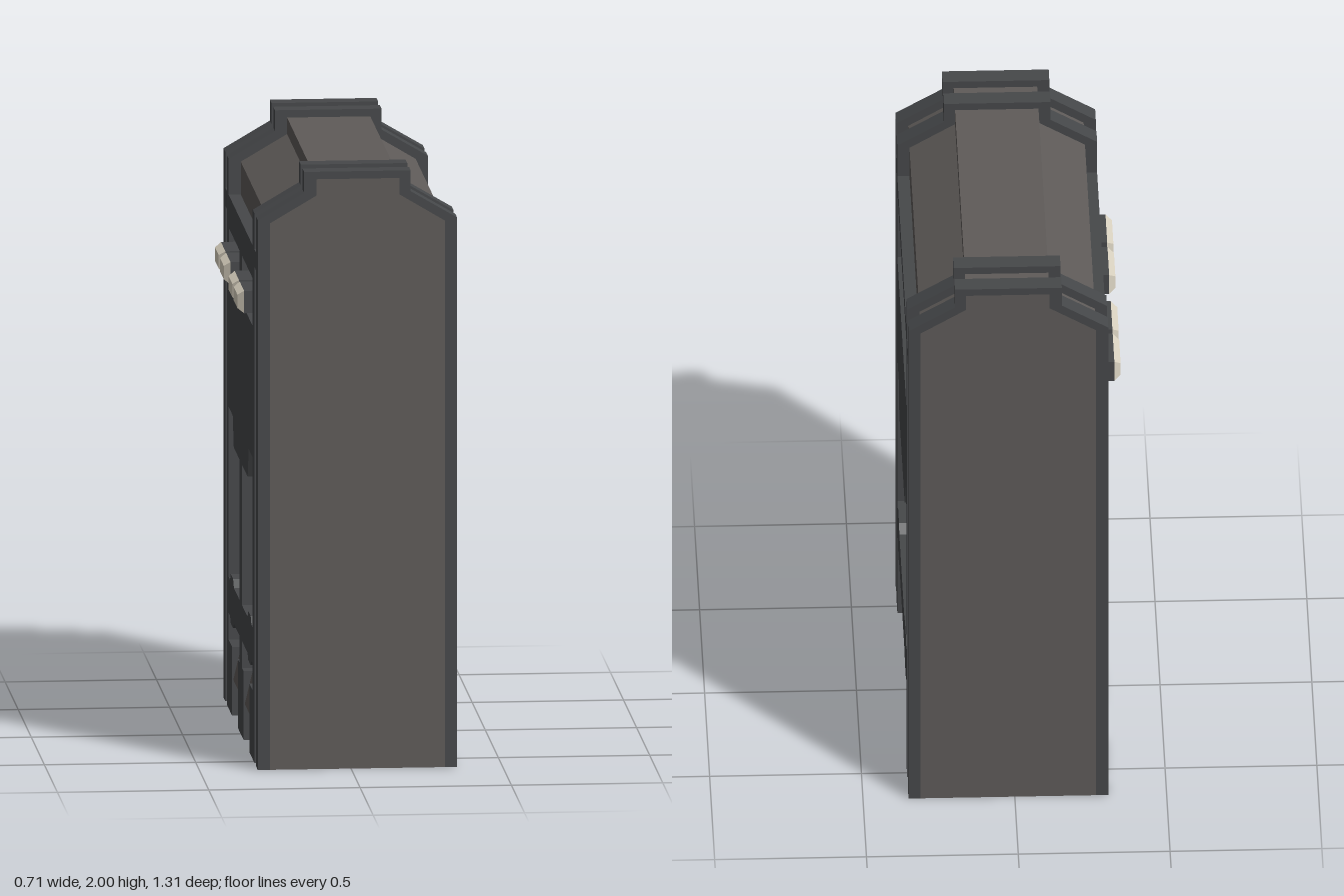
import * as THREE from 'three';

const mat = (color) => new THREE.MeshStandardMaterial({ color, flatShading: true });
const dark = mat(0x46484a);
const brown = mat(0x5f5b59);
const cream = mat(0xdcd4c2);

const OUT = [[0.35, 0], [0.35, 1.84], [0.197, 1.93], [0.197, 2], [-0.155, 2], [-0.155, 1.93], [-0.308, 1.84], [-0.308, 0]];
const INN = [[0.31, 0], [0.31, 1.83], [0.16, 1.92], [0.16, 1.975], [-0.115, 1.975], [-0.115, 1.92], [-0.268, 1.83], [-0.268, 0]];
const T = 0.04; // how far the framework stands off the body

const shapeOf = (pts) => new THREE.Shape(pts.map(([x, y]) => new THREE.Vector2(x, y)));
const rect = (x0, x1, y0, y1) => [[x0, y0], [x1, y0], [x1, y1], [x0, y1]];
const mirrored = (half) => [...half, ...half.map(([x, y]) => [-x, y]).reverse()];

function slab(name, pts, depth, material, holes = []) {
  const shape = shapeOf(pts);
  holes.forEach((h) => shape.holes.push(shapeOf(h)));
  const mesh = new THREE.Mesh(new THREE.ExtrudeGeometry(shape, { depth, bevelEnabled: false }), material);
  mesh.name = name;
  return mesh;
}

// Lower crossbar with two thickened knuckles
const crossbar = mirrored([
  [-0.46, 0.32], [-0.41, 0.32], [-0.38, 0.3], [-0.29, 0.3], [-0.26, 0.32],
]).concat(mirrored([
  [0.46, 0.44], [0.41, 0.44], [0.38, 0.465], [0.29, 0.465], [0.26, 0.44],
]));

// Wide belt with a stepped lower edge, up to the given height
const belt = (top) => mirrored([[-0.46, top], [-0.46, 1.01], [-0.305, 1.01], [-0.265, 0.91]]);

// One side's framework, drawn flat and facing +z
function sidePanel(name) {
  const g = new THREE.Group();
  g.name = name;
  g.add(slab('lowerCrossbar', crossbar, T, dark));
  for (const s of [-1, 1]) {
    const link = slab('railLink', rect(-0.0325, 0.0325, 1.66, 1.72), T, dark);
    link.position.x = s * 0.5575;
    g.add(link);
  }
  return g;
}

function lamp() {
  const g = new THREE.Group();
  g.name = 'lamp';
  const base = new THREE.Mesh(new THREE.BoxGeometry(0.17, 0.075, 0.067), dark);
  base.name = 'lampBase';
  base.position.z = 0.0335;
  // Lens: a box whose outer face is drawn in
  const geo = new THREE.BoxGeometry(0.17, 0.075, 0.021);
  const p = geo.attributes.position;
  for (let i = 0; i < p.count; i++) {
    if (p.getZ(i) > 0) p.setXY(i, p.getX(i) * 0.83, p.getY(i) * 0.6);
  }
  geo.computeVertexNormals();
  const lens = new THREE.Mesh(geo, cream);
  lens.name = 'lampLens';
  lens.position.z = 0.0775;
  g.add(base, lens);
  return g;
}

export function createModel() {
  const model = new THREE.Group();
  model.name = 'cabinet';

  // Inner body
  const body = slab('body', INN, 1.31, brown);
  body.position.z = -0.655;
  model.add(body);

  // Four arched ribs, in pairs near the ends
  for (const z of [-0.655, -0.525, 0.46, 0.592]) {
    const rib = slab('rib', [...OUT, ...[...INN].reverse()], 0.064, dark);
    rib.position.z = z;
    model.add(rib);
  }

  // Plain side
  const left = sidePanel('leftPanel');
  left.add(slab('belt', belt(1.4), T, dark));
  left.add(slab('topRail', rect(-0.46, 0.46, 1.66, 1.72), T, dark));
  left.rotation.y = Math.PI / 2;
  left.position.x = 0.31;
  model.add(left);

  // Lamp side: windows in the upper belt, a centre post and vents at the foot
  const right = sidePanel('rightPanel');
  right.add(slab('belt', belt(1.72), T, dark, [rect(-0.45, -0.05, 1.45, 1.61), rect(0.05, 0.45, 1.45, 1.61)]));
  right.add(slab('upperPost', rect(-0.05, 0.05, 0.44, 0.91), T, dark));
  right.add(slab('lowerPost', rect(-0.05, 0.05, 0, 0.32), T, dark));
  for (const s of [-1, 1]) {
    for (const [x, w] of [[0.395, 0.13], [0.08, 0.06]]) {
      const foot = slab('foot', rect(-w / 2, w / 2, 0, 0.23), T, dark);
      foot.position.x = s * x;
      right.add(foot);
    }
    // Sloping vent between the feet
    const vent = slab('vent', [[0, 0.1], [0.036, 0.12], [0.01, 0.23], [0, 0.23]], 0.22, brown);
    vent.rotation.y = -Math.PI / 2;
    vent.scale.z = 1;
    vent.position.x = s * 0.22 + 0.11;
    right.add(vent);
    for (const x of [0.163, 0.358]) {
      const l = lamp();
      l.position.set(s * x, 1.528, 0);
      right.add(l);
    }
  }
  right.rotation.y = -Math.PI / 2;
  right.position.x = -0.268;
  model.add(right);

  return model;
}
